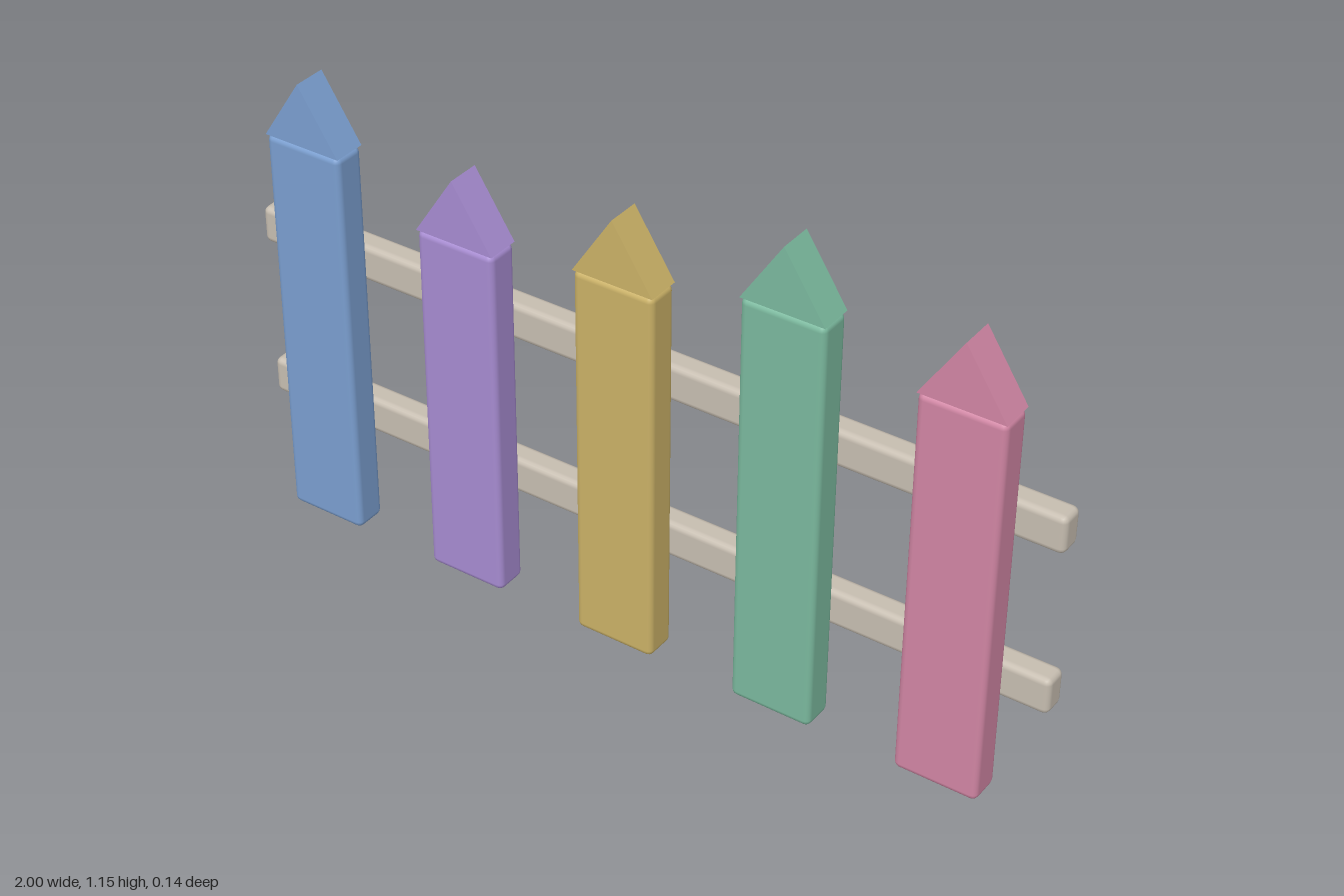
import * as THREE from 'three';
import { RoundedBoxGeometry } from 'three/addons/geometries/RoundedBoxGeometry.js';

const material = (name, color) => {
  const m = new THREE.MeshStandardMaterial({ color });
  m.name = name;
  return m;
};

const WIDTH = 0.196, DEPTH = 0.08, POINT = 0.15;
const PICKET_Z = 0.03, RAIL_Z = -0.04;

// Triangular prism with its base on y = 0
function pointGeometry() {
  const shape = new THREE.Shape();
  shape.moveTo(-WIDTH / 2, 0);
  shape.lineTo(WIDTH / 2, 0);
  shape.lineTo(0, POINT);
  shape.closePath();
  return new THREE.ExtrudeGeometry(shape, { depth: DEPTH, bevelEnabled: false })
    .translate(0, 0, -DEPTH / 2);
}

export function createModel() {
  const fence = new THREE.Group();
  fence.name = 'picketFence';

  // Pickets: colour and height of the board below its point
  const pickets = [
    ['blue', 0x7a9ecf, 0.97],
    ['purple', 0xa68bd0, 0.873],
    ['yellow', 0xc9b066, 0.92],
    ['green', 0x7ab89d, 1.003],
    ['pink', 0xd085a3, 0.938],
  ];
  const tip = pointGeometry();
  pickets.forEach(([name, color, height], i) => {
    const mat = material(name, color);
    const picket = new THREE.Group();
    picket.name = `${name}Picket`;
    picket.position.set((i - 2) * 0.4, 0, PICKET_Z);

    const board = new THREE.Mesh(new RoundedBoxGeometry(WIDTH, height, DEPTH, 2, 0.015), mat);
    board.name = 'board';
    board.position.y = height / 2;

    const point = new THREE.Mesh(tip, mat);
    point.name = 'point';
    point.position.y = height;

    picket.add(board, point);
    fence.add(picket);
  });

  // Rails along the back
  const railMaterial = material('weathered grey', 0xc6bdb0);
  const railGeometry = new RoundedBoxGeometry(2, 0.09, 0.06, 2, 0.015);
  [['lowerRail', 0.268], ['upperRail', 0.67]].forEach(([name, y]) => {
    const rail = new THREE.Mesh(railGeometry, railMaterial);
    rail.name = name;
    rail.position.set(0, y, RAIL_Z);
    fence.add(rail);
  });

  return fence;
}
